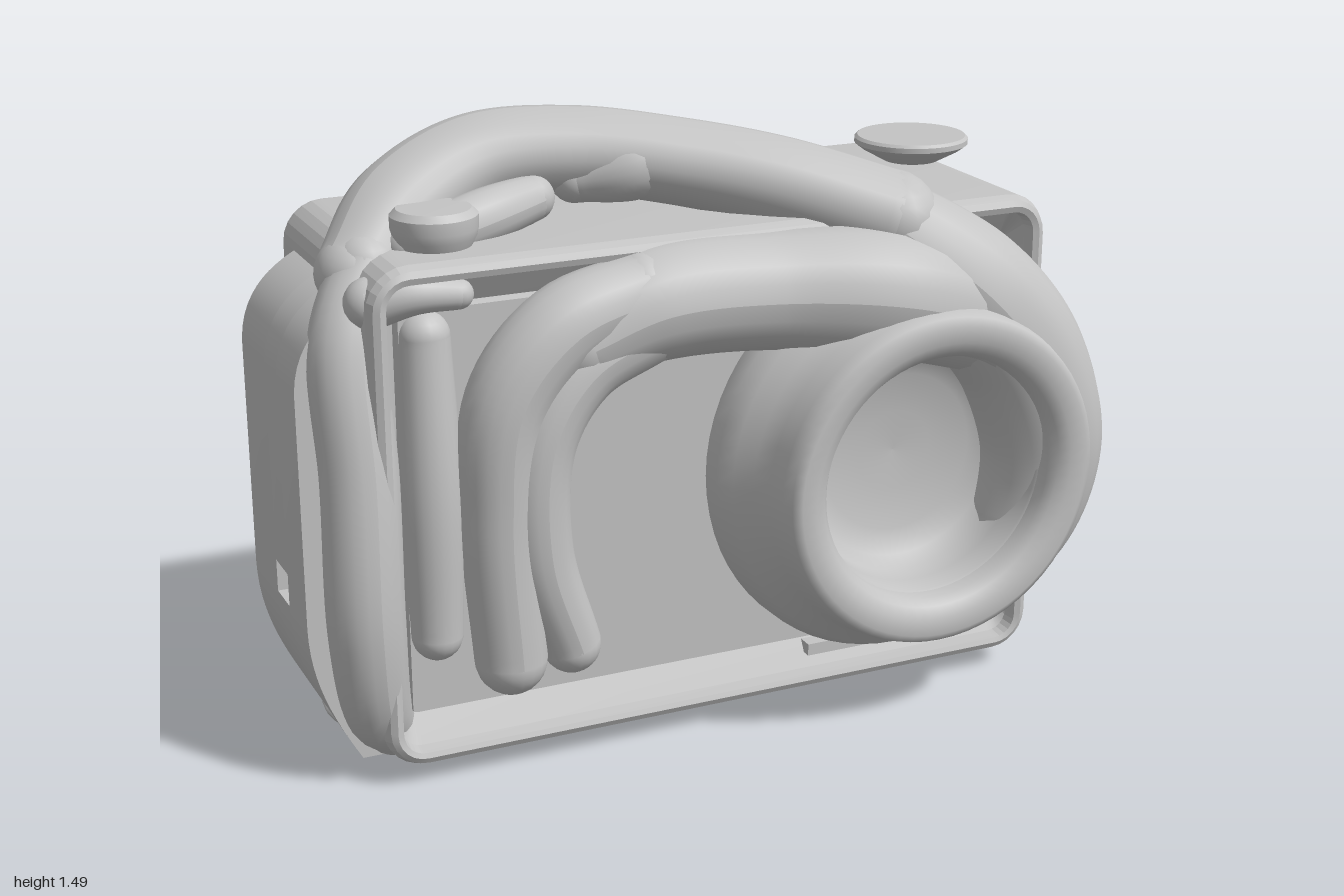
import * as THREE from 'three';
import { toCreasedNormals } from 'three/addons/utils/BufferGeometryUtils.js';

const grey = new THREE.MeshStandardMaterial({ color: 0xc4c4c4 });
grey.name = 'clay grey';

const v = (p) => new THREE.Vector3(...p);
const profile = (points) => points.map((p) => new THREE.Vector2(...p));

export function createModel() {
  const model = new THREE.Group();

  function add(name, geometry, x = 0, y = 0, z = 0) {
    const mesh = new THREE.Mesh(geometry, grey);
    mesh.name = name;
    mesh.position.set(x, y, z);
    model.add(mesh);
    return mesh;
  }

  // Soft limb with round ends; each point is [x, y, z, radius], depth widens it along z
  function limb(name, points, segments = 40, depth = 1) {
    const curve = new THREE.CatmullRomCurve3(points.map((p) => v(p.slice(0, 3))));
    const radii = new THREE.CatmullRomCurve3(points.map((p, i) => new THREE.Vector3(i, p[3], 0)));
    const sides = 20;
    const geometry = new THREE.TubeGeometry(curve, segments, 1, sides);
    const pos = geometry.attributes.position;
    const q = new THREE.Vector3();
    for (let i = 0; i <= segments; i++) {
      const centre = curve.getPointAt(i / segments);
      const radius = radii.getPoint(curve.getUtoTmapping(i / segments)).y;
      for (let j = 0; j <= sides; j++) {
        const k = i * (sides + 1) + j;
        q.fromBufferAttribute(pos, k).sub(centre).multiplyScalar(radius);
        q.z *= depth;
        q.add(centre);
        pos.setXYZ(k, q.x, q.y, q.z);
      }
    }
    geometry.computeVertexNormals();
    add(name, geometry);
    for (const p of [points[0], points[points.length - 1]]) {
      add(name + 'End', new THREE.SphereGeometry(p[3], 20, 14), p[0], p[1], p[2]).scale.z = depth;
    }
  }

  // Rounded-rectangle outline between two heights, anticlockwise from the front
  function outline(w, y0, y1, r, z) {
    const points = [], h = (y1 - y0) / 2, mid = (y0 + y1) / 2;
    [[1, 1], [-1, 1], [-1, -1], [1, -1]].forEach(([sx, sy], c) => {
      for (let i = 0; i <= 6; i++) {
        const a = (c + i / 6) * Math.PI / 2;
        points.push([sx * (w - r) + r * Math.cos(a), mid + sy * (h - r) + r * Math.sin(a), z]);
      }
    });
    return points;
  }

  // Skin a stack of outlines from back to front and close both ends
  function loft(sections) {
    const n = sections[0].length;
    const index = [];
    for (let s = 0; s < sections.length - 1; s++) {
      for (let i = 0; i < n; i++) {
        const a = s * n + i, b = s * n + (i + 1) % n;
        index.push(a, b, b + n, a, b + n, a + n);
      }
    }
    const last = (sections.length - 1) * n;
    for (let i = 1; i < n - 1; i++) index.push(0, i + 1, i, last, last + i, last + i + 1);
    const geometry = new THREE.BufferGeometry();
    geometry.setAttribute('position', new THREE.Float32BufferAttribute(sections.flat(2), 3));
    geometry.setIndex(index);
    return toCreasedNormals(geometry, 0.2);
  }

  // Case: rounded back, thin rim and a tray with sloping walls in the front
  const sections = [];
  for (let i = 0; i <= 6; i++) {
    const a = i / 6 * Math.PI / 2, inset = 0.09 * (1 - Math.sin(a));
    sections.push(outline(0.86 - inset, 0.045 + inset, 1.245 - inset, 0.1 - inset * 0.7, -0.5 + 0.09 * (1 - Math.cos(a))));
  }
  sections.push(
    outline(0.86, 0.045, 1.245, 0.1, 0.23), outline(0.85, 0.055, 1.235, 0.09, 0.252),
    outline(0.835, 0.07, 1.22, 0.07, 0.26), outline(0.82, 0.082, 1.205, 0.055, 0.255),
    outline(0.815, 0.087, 1.2, 0.05, 0.22), outline(0.785, 0.16, 1.135, 0.012, 0.18),
    outline(0.78, 0.165, 1.13, 0.01, 0.205));
  add('case', loft(sections));
  add('lowerTrim', new THREE.BoxGeometry(0.5, 0.03, 0.04), 0.49, 0.135, 0.205);

  // Lens ring with a flared foot, and the deep bowl inside it
  const ringProfile = [[0.48, 0.17], [0.5, 0.22], [0.498, 0.27], [0.475, 0.315], [0.44, 0.35], [0.422, 0.4],
    [0.414, 0.45], [0.405, 0.483], [0.385, 0.497], [0.345, 0.492], [0.318, 0.478], [0.303, 0.455], [0.3, 0.42]];
  const bowlProfile = [[0.31, 0.43], [0.295, 0.42], [0.293, 0.36], [0.285, 0.31], [0.26, 0.275], [0.2, 0.25], [0.1, 0.235], [0, 0.23]];
  for (const [name, points] of [['lensRing', ringProfile], ['lensBowl', bowlProfile]]) {
    add(name, new THREE.LatheGeometry(profile(points), 64), 0.46, 0.635, 0).rotation.x = Math.PI / 2;
  }

  // Arm wrapped around the lens, and the palm across the front
  limb('lensArm', [[0.4, 1.22, 0.21, 0.115], [0.52, 1.13, 0.26, 0.14], [0.64, 1.02, 0.29, 0.16], [0.77, 0.85, 0.3, 0.16],
    [0.84, 0.62, 0.295, 0.155], [0.79, 0.4, 0.27, 0.14], [0.64, 0.25, 0.25, 0.09]], 56);
  limb('palm', [[0.66, 0.97, 0.29, 0.14], [0.4, 1.06, 0.3, 0.155], [0.1, 1.09, 0.25, 0.14],
    [-0.2, 1.09, 0.24, 0.135], [-0.38, 1.03, 0.25, 0.11]], 48);
  limb('frontFinger', [[-0.22, 1.13, 0.26, 0.09], [-0.42, 1.07, 0.27, 0.1], [-0.55, 0.92, 0.27, 0.1],
    [-0.58, 0.65, 0.27, 0.09], [-0.56, 0.29, 0.27, 0.085]]);
  limb('frontFinger', [[-0.2, 1.05, 0.26, 0.09], [-0.38, 0.97, 0.27, 0.09], [-0.48, 0.82, 0.28, 0.085],
    [-0.49, 0.55, 0.28, 0.08], [-0.41, 0.3, 0.27, 0.07]]);
  limb('frontFinger', [[-0.72, 1.07, 0.2, 0.06], [-0.72, 0.7, 0.22, 0.07], [-0.72, 0.36, 0.22, 0.06]]);

  // Handle arched over the top, ending in a cuff at the lens arm
  limb('handle', [[0.44, 1.22, 0.215, 0.115], [0.2, 1.305, 0.1, 0.108], [-0.02, 1.355, 0, 0.103],
    [-0.25, 1.385, -0.09, 0.103], [-0.48, 1.375, -0.13, 0.105], [-0.68, 1.29, -0.08, 0.11],
    [-0.82, 1.18, 0.03, 0.09]], 64, 1.2);
  limb('handleFinger', [[-0.7, 1.24, 0.07, 0.06], [-0.52, 1.28, 0.04, 0.065], [-0.38, 1.3, -0.01, 0.055]], 20);
  limb('handleFinger', [[-0.26, 1.33, -0.04, 0.06], [-0.12, 1.36, 0.0, 0.085], [-0.04, 1.39, -0.03, 0.065]], 16);

  // Arm and knuckle holding the right side
  limb('sideArm', [[-0.8, 1.2, 0.05, 0.08], [-0.87, 1.05, 0.12, 0.09], [-0.875, 0.75, 0.18, 0.09],
    [-0.88, 0.4, 0.2, 0.09], [-0.85, 0.17, 0.16, 0.08], [-0.8, 0.09, 0.1, 0.07]]);
  limb('cornerKnuckle', [[-0.83, 1.15, 0.17, 0.06], [-0.74, 1.17, 0.21, 0.045], [-0.64, 1.16, 0.21, 0.035]], 16);

  // Side pad in three slabs, the middle one cut by a small slot
  for (const [z0, z1, slot] of [[-0.33, -0.13, false], [-0.13, -0.03, true], [-0.03, 0.12, false]]) {
    const pad = new THREE.Shape();
    pad.moveTo(-0.8, 0.03);
    pad.lineTo(-0.88, 0.03);
    pad.bezierCurveTo(-0.95, 0.15, -0.995, 0.25, -0.997, 0.38);
    if (slot) for (const [x, y] of [[-0.94, 0.38], [-0.94, 0.46], [-0.997, 0.46]]) pad.lineTo(x, y);
    pad.lineTo(-0.997, 0.95);
    pad.bezierCurveTo(-0.99, 1.08, -0.9, 1.13, -0.84, 1.16);
    pad.lineTo(-0.8, 1.16);
    pad.closePath();
    const slab = new THREE.ExtrudeGeometry(pad, { depth: z1 - z0, curveSegments: 12, bevelEnabled: false });
    add('sidePad', toCreasedNormals(slab, 0.6), 0, 0, z0);
  }

  // Flat hand under the base
  add('underPalm', new THREE.SphereGeometry(1, 28, 16), -0.69, 0.05, -0.12).scale.set(0.21, 0.048, 0.22);
  for (const [x, z, length, width] of [[-0.5, -0.25, 0.24, 0.09], [-0.49, -0.13, 0.24, 0.085],
    [-0.52, -0.02, 0.24, 0.08], [-0.6, 0.05, 0.22, 0.065]]) {
    add('underFinger', new THREE.SphereGeometry(1, 24, 14), x, 0.048, z).scale.set(length, 0.047, width);
  }

  // Top buttons
  const dial = [[0, 0], [0.07, 0], [0.125, 0.03], [0.145, 0.045], [0.145, 0.058], [0.138, 0.065], [0, 0.065]];
  const knob = [[0, 0], [0.08, 0], [0.095, 0.03], [0.1, 0.05], [0.1, 0.08], [0.085, 0.095], [0, 0.097]];
  add('dial', toCreasedNormals(new THREE.LatheGeometry(profile(dial), 40), 0.6), 0.735, 1.245, -0.2);
  add('shutterButton', toCreasedNormals(new THREE.LatheGeometry(profile(knob), 32), 0.6), -0.65, 1.235, 0.09);

  return model;
}
